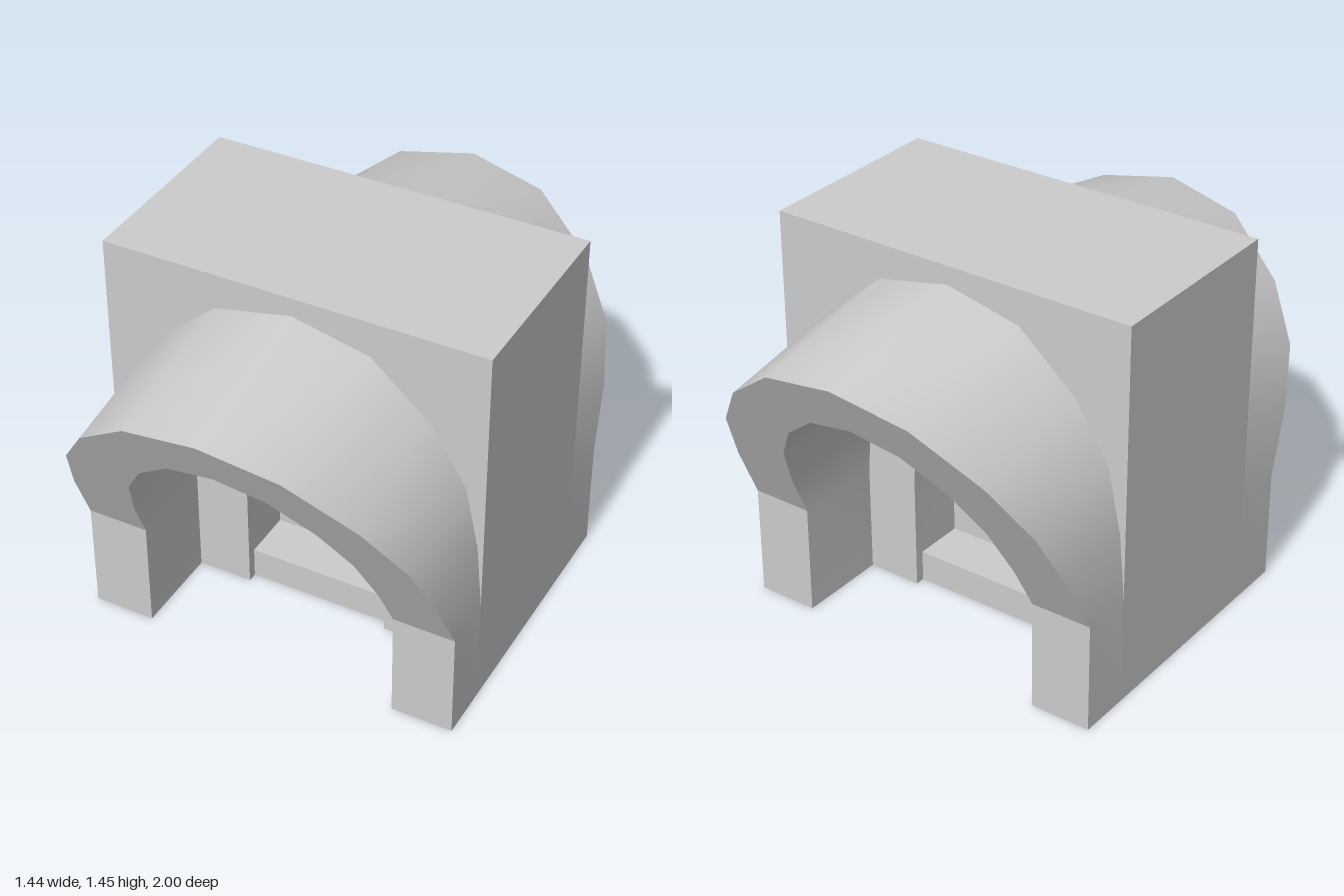
import * as THREE from 'three';
import { toCreasedNormals } from 'three/addons/utils/BufferGeometryUtils.js';

const W = 0.722, H = 1.45;         // block half width and height
const FACE = 0.385, WALL = 0.236;  // block face and recessed doorway wall
const SPRING = 0.42;               // height where the arches start to curve

const grey = new THREE.MeshStandardMaterial({ color: 0xcccccc, side: THREE.DoubleSide });

// Half profiles from the right foot up to the crown: [x, y]
const outerFront = [[W, 0], [W, SPRING], [0.70, 0.64], [0.65, 0.845], [0.52, 1.03], [0.29, 1.203], [0, 1.26]];
const outerBack = [[W, 0], [W, SPRING], [0.70, 0.67], [0.65, 0.905], [0.52, 1.12], [0.29, 1.317], [0, 1.38]];
const innerFront = [[0.49, 0], [0.49, SPRING], [0.475, 0.59], [0.43, 0.765], [0.335, 0.91], [0.185, 1.03], [0, 1.07]];
const innerBack = innerFront.map(([x, y]) => [x, y > SPRING ? SPRING + (y - SPRING) * 1.15 : y]);
const notch = outerBack.map(([x, y], i) => [(x + innerBack[i][0]) / 2, (y + innerBack[i][1]) / 2]);
const door = [[0.28, 0], [0.28, SPRING], [0.275, 0.55], [0.245, 0.69], [0.19, 0.81], [0.105, 0.90], [0, 0.935]];

// Mirror a half profile into a full arch
const full = half => [...half, ...half.slice(0, -1).reverse().map(([x, y]) => [-x, y])];

// Depth of the leaning hood rim, upright below the spring line
const rimZ = y => 0.585 + Math.max(0, y - SPRING) * 0.494;
const onRim = half => full(half).map(([x, y]) => [x, y, rimZ(y)]);
const at = (half, z) => full(half).map(([x, y]) => [x, y, z]);

// Surface ruled between two rows of points
function strip(a, b, flat = false) {
  const index = [];
  const n = a.length;
  for (let i = 0; i < n - 1; i++) index.push(i, n + i, i + 1, i + 1, n + i, n + i + 1);
  let geo = new THREE.BufferGeometry();
  geo.setAttribute('position', new THREE.Float32BufferAttribute([...a, ...b].flat(), 3));
  geo.setIndex(index);
  if (flat) geo = geo.toNonIndexed();
  geo.computeVertexNormals();
  return geo;
}

// Block slab with an arched opening that reaches the ground
function archedSlab(half, z0, z1) {
  const outline = [...full(half), [-W, 0], [-W, H], [W, H], [W, 0]];
  const shape = new THREE.Shape(outline.map(([x, y]) => new THREE.Vector2(x, y)));
  const geo = new THREE.ExtrudeGeometry(shape, { depth: z1 - z0, bevelEnabled: false });
  geo.translate(0, 0, z0);
  return toCreasedNormals(geo, 0.7);
}

function add(parent, name, geo, x = 0, y = 0, z = 0) {
  const mesh = new THREE.Mesh(geo, grey);
  mesh.name = name;
  mesh.position.set(x, y, z);
  parent.add(mesh);
}

// One half of the gatehouse: wall, doorway and flared hood
function createHalf() {
  const half = new THREE.Group();
  add(half, 'doorwayWall', archedSlab(door, 0, WALL));
  add(half, 'blockFace', archedSlab(notch, WALL, FACE));
  add(half, 'hoodOuter', strip(onRim(outerFront), at(outerBack, FACE)));
  add(half, 'hoodInner', strip(at(innerBack, WALL), onRim(innerFront)));
  add(half, 'hoodRim', strip(onRim(innerFront), onRim(outerFront), true));
  // Undersides of the hood legs
  for (const [x0, x1] of [[0.49, W], [-W, -0.49]]) {
    add(half, 'hoodFoot', strip(
      [[x0, 0, WALL], [x0, 0, 0.585]],
      [[x1, 0, WALL], [x1, 0, 0.585]]));
  }
  return half;
}

export function createModel() {
  const model = new THREE.Group();
  model.name = 'archedGatehouse';

  const front = createHalf();
  front.name = 'frontHalf';
  const back = createHalf();
  back.name = 'backHalf';
  back.rotation.y = Math.PI;
  model.add(front, back);

  // Closed door panel and the sill below it
  add(model, 'doorPanel', new THREE.BoxGeometry(0.56, 0.94, 0.01), 0, 0.47, 0);
  add(model, 'doorSill', new THREE.BoxGeometry(0.56, 0.12, 0.4), 0, 0.06, 0);
  return model;
}
